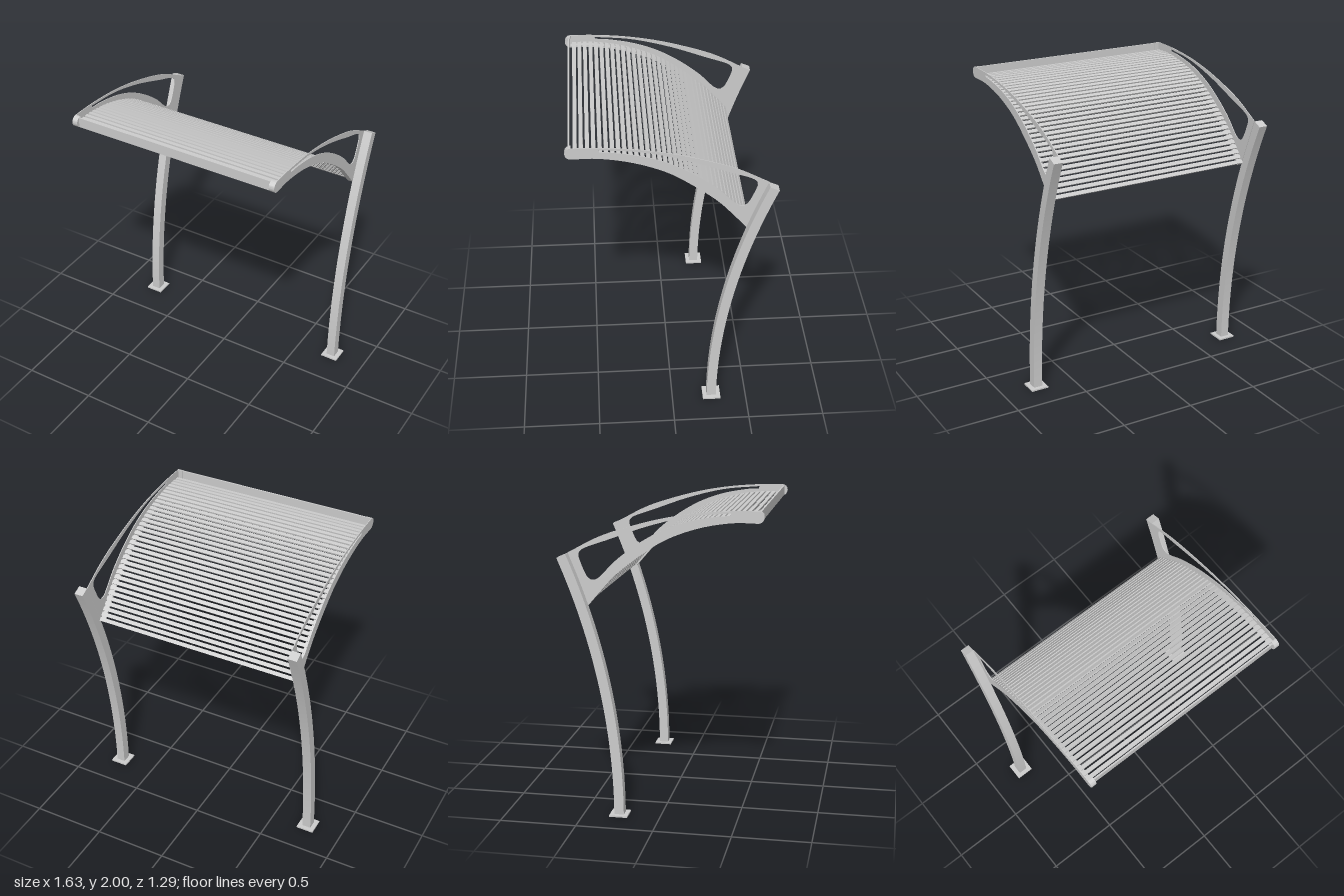
import * as THREE from 'three';
import { toCreasedNormals } from 'three/addons/utils/BufferGeometryUtils.js';

const material = new THREE.MeshStandardMaterial({ color: 0xcccccc, side: THREE.DoubleSide });

// Extrudes a side profile drawn in (z, y) so that it spans x0..x1.
function profileMesh(name, shape, x0, x1) {
  const geo = new THREE.ExtrudeGeometry(shape, { depth: x1 - x0, bevelEnabled: false, curveSegments: 20 });
  geo.rotateY(-Math.PI / 2);
  geo.translate(x1, 0, 0);
  const mesh = new THREE.Mesh(toCreasedNormals(geo, 0.5), material);
  mesh.name = name;
  return mesh;
}

function boxMesh(name, w, h, d, x, y, z) {
  const mesh = new THREE.Mesh(new THREE.BoxGeometry(w, h, d), material);
  mesh.position.set(x, y, z);
  mesh.name = name;
  return mesh;
}

const curve = (pts) => new THREE.CatmullRomCurve3(pts.map(([z, y]) => new THREE.Vector3(0, y, z)), false, 'centripetal');
const sample = (pts, n) => curve(pts).getSpacedPoints(n).map((p) => new THREE.Vector2(p.z, p.y));

// Side profile lines as (z, y), front to back
const TOP = [[0.606, 1.999], [0.458, 1.997], [0.246, 1.98], [0.034, 1.945], [-0.177, 1.89], [-0.389, 1.817], [-0.59, 1.712]];
const BOTTOM = [[0.606, 1.923], [0.458, 1.923], [0.246, 1.886], [0.034, 1.807], [-0.124, 1.706], [-0.283, 1.58], [-0.39, 1.463], [-0.463, 1.378]];
const HOLE = [[0.44, 1.982], [0.19, 1.957], [-0.07, 1.892], [-0.336, 1.797], [-0.484, 1.743], [-0.515, 1.722], [-0.521, 1.69],
  [-0.51, 1.655], [-0.47, 1.565], [-0.452, 1.546], [-0.43, 1.541], [-0.4, 1.553], [-0.283, 1.67], [-0.124, 1.79],
  [0.034, 1.876], [0.193, 1.93], [0.378, 1.963], [0.44, 1.967], [0.449, 1.975], [0.44, 1.982]];

// Curved post: a band between two arcs about one centre
function postShape() {
  const cz = -4.535, angle = 0.409, shape = new THREE.Shape();
  shape.absarc(cz, 0, 4.3, 0, angle, false);
  shape.absarc(cz, 0, 4.237, angle, 0, true);
  return shape;
}

// Thin side plate: rounded nose, upper arch, lower arch and the opening between them
function plateShape() {
  const nose = [];
  for (let i = 1; i < 12; i++) {
    const a = -Math.PI / 2 + (Math.PI * i) / 12;
    nose.push(new THREE.Vector2(0.606 + 0.038 * Math.cos(a), 1.961 + 0.038 * Math.sin(a)));
  }
  const shape = new THREE.Shape([...sample(BOTTOM, 30).reverse(), ...nose, ...sample(TOP, 30)]);
  shape.holes.push(new THREE.Path(sample(HOLE, 80)));
  return shape;
}

// Flange following the lower edge of the plate
function flangeShape() {
  const c = curve(BOTTOM), lower = [], upper = [];
  for (let i = 0; i <= 30; i++) {
    const p = c.getPointAt(i / 30), t = c.getTangentAt(i / 30);
    lower.push(new THREE.Vector2(p.z, p.y));
    upper.push(new THREE.Vector2(p.z + t.y * 0.012, p.y - t.z * 0.012));
  }
  return new THREE.Shape([...lower.reverse(), ...upper]);
}

function noseShape() {
  const shape = new THREE.Shape();
  shape.absarc(0.606, 1.961, 0.038, -Math.PI / 2, Math.PI / 2, false);
  return shape;
}

export function createModel() {
  const model = new THREE.Group();
  model.name = 'canopy';

  // Both sides: foot, post and roof bracket
  for (const side of [1, -1]) {
    const group = new THREE.Group();
    group.name = side > 0 ? 'leftSide' : 'rightSide';
    const add = (name, shape, a, b) =>
      group.add(profileMesh(name, shape, Math.min(side * a, side * b), Math.max(side * a, side * b)));
    add('post', postShape(), 0.725, 0.785);
    add('bracketPlate', plateShape(), 0.722, 0.727);
    add('bracketFlange', flangeShape(), 0.69, 0.722);
    add('bracketNose', noseShape(), 0.69, 0.722);
    group.add(boxMesh('basePlate', 0.12, 0.01, 0.12, side * 0.755, 0.005, -0.267));
    model.add(group);
  }

  // Front board between the bracket noses
  model.add(boxMesh('frontBoard', 1.38, 0.066, 0.01, 0, 1.961, 0.618));

  // Slats laid along the curved flanges
  const slats = new THREE.Group();
  slats.name = 'roofSlats';
  const path = curve(BOTTOM), count = 34;
  for (let i = 0; i < count; i++) {
    const u = (i + 0.65) / count;
    const p = path.getPointAt(u), t = path.getTangentAt(u);
    const slat = boxMesh('slat', 1.446, 0.012, 0.025, 0, p.y - t.z * 0.018, p.z + t.y * 0.018);
    slat.rotation.x = Math.atan2(t.y, -t.z);
    slats.add(slat);
  }
  model.add(slats);
  return model;
}
